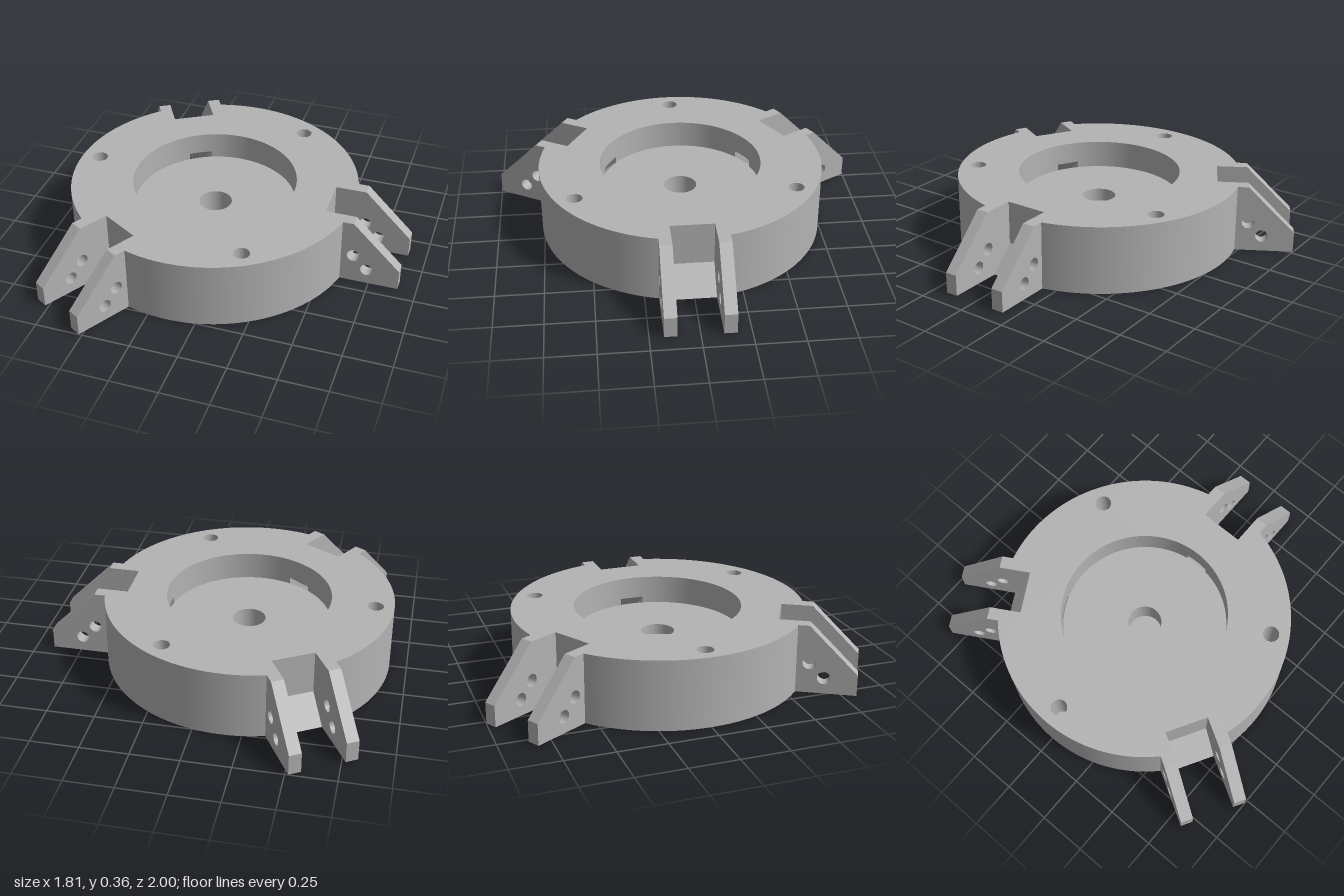
import * as THREE from 'three';

const R = 0.763, H = 0.36;            // disc radius and height
const POCKET = 0.435, FLOOR = 0.21;   // round pocket radius and floor height
const CENTRE = 0.088, CENTRE_Y = 0.06;
const BOLT = 0.042, BOLT_AT = 0.666, BOLT_Y = 0.12;
const NOTCH_R = 0.636, NOTCH_W = 0.113, NOTCH_Y = 0.13;
const SLOT_W = 0.064, SLOT_Y = 0.245;
const THIRD = Math.PI * 2 / 3;

export function createModel() {
  const model = new THREE.Group();
  model.name = 'mountingBase';
  const grey = new THREE.MeshStandardMaterial({ color: 0xb3b3b3, side: THREE.DoubleSide });
  grey.name = 'plain grey';

  const add = (parent, name, geometry) => {
    const mesh = new THREE.Mesh(geometry, grey);
    mesh.name = name;
    parent.add(mesh);
    return mesh;
  };
  const circle = (x, y, r) => new THREE.Path().absarc(x, y, r, 0, Math.PI * 2, false);
  const disc = (x, y, r) => new THREE.Shape().absarc(x, y, r, 0, Math.PI * 2, false);
  const turn = (x, y, a) => new THREE.Vector2(x, y).rotateAround(new THREE.Vector2(), a);

  // Horizontal face cut from a shape, at height y
  const flat = (name, shape, y) =>
    add(model, name, new THREE.ShapeGeometry(shape, 48).rotateX(-Math.PI / 2).translate(0, y, 0));
  // Upright round wall between two heights
  const wall = (name, r, y0, y1, start = 0, sweep = Math.PI * 2) =>
    add(model, name, new THREE.CylinderGeometry(r, r, y1 - y0, 96, 1, true, start, sweep)
      .translate(0, (y0 + y1) / 2, 0));
  // Four-cornered face
  const quad = (parent, name, ...corners) => {
    const g = new THREE.BufferGeometry();
    g.setAttribute('position', new THREE.Float32BufferAttribute(corners.flat(), 3));
    g.setIndex([0, 1, 2, 0, 2, 3]);
    g.computeVertexNormals();
    return add(parent, name, g);
  };

  const notchAngle = Math.asin(NOTCH_W / R);
  const slotAngle = Math.asin(SLOT_W / POCKET);

  // Top face with three notches, the pocket and the bolt holes
  const top = new THREE.Shape();
  const bottom = disc(0, 0, R);
  for (let k = 0; k < 3; k++) {
    const a = k * THIRD;
    const p = turn(NOTCH_R, -NOTCH_W, a), q = turn(NOTCH_R, NOTCH_W, a);
    if (k === 0) top.moveTo(p.x, p.y); else top.lineTo(p.x, p.y);
    top.lineTo(q.x, q.y);
    top.absarc(0, 0, R, a + notchAngle, a + THIRD - notchAngle, false);

    // Slot opening in the underside
    bottom.holes.push(new THREE.Path([
      turn(0.695, -SLOT_W, a), turn(0.75, -SLOT_W, a),
      turn(0.75, SLOT_W, a), turn(0.695, SLOT_W, a)]));
  }
  top.holes.push(circle(0, 0, POCKET));

  // Blind bolt holes midway between the brackets
  for (let k = 0; k < 3; k++) {
    const c = turn(BOLT_AT, 0, (k + 0.5) * THIRD);
    top.holes.push(circle(c.x, c.y, BOLT));
    wall('boltHoleWall', BOLT, BOLT_Y, H).position.set(c.x, 0, -c.y);
    flat('boltHoleFloor', disc(c.x, c.y, BOLT), BOLT_Y);
  }
  flat('topFace', top, H);
  flat('underside', bottom, 0);

  // Pocket and its blind centre hole
  const floor = disc(0, 0, POCKET);
  floor.holes.push(circle(0, 0, CENTRE));
  flat('pocketFloor', floor, FLOOR);
  wall('pocketWall', POCKET, SLOT_Y, H);
  wall('centreHoleWall', CENTRE, CENTRE_Y, FLOOR);
  flat('centreHoleFloor', disc(0, 0, CENTRE), CENTRE_Y);

  // Outer rim and lower pocket wall, interrupted at each bracket
  for (let k = 0; k < 3; k++) {
    const a = Math.PI / 2 + k * THIRD;
    wall('outerRim', R, 0, H, a + notchAngle, THIRD - 2 * notchAngle);
    wall('pocketWallLower', POCKET, FLOOR, SLOT_Y, a + slotAngle, THIRD - 2 * slotAngle);
  }

  // Side plate of a bracket, with a sloped corner and two pin holes
  const profile = new THREE.Shape([
    [NOTCH_R, 0], [1.05, 0], [1.05, 0.11], [0.8, H], [NOTCH_R, H],
  ].map(([x, y]) => new THREE.Vector2(x, y)));
  profile.holes.push(circle(0.806, 0.16, 0.033), circle(0.881, 0.085, 0.033));
  const plate = new THREE.ExtrudeGeometry(profile, { depth: 0.065, bevelEnabled: false, curveSegments: 16 });

  for (let k = 0; k < 3; k++) {
    const bracket = new THREE.Group();
    bracket.name = 'bracket';
    bracket.rotation.y = k * THIRD;
    model.add(bracket);
    add(bracket, 'sidePlate', plate).position.z = NOTCH_W;
    add(bracket, 'sidePlate', plate).position.z = -NOTCH_W - 0.065;

    // Notch: upright back and sloped ramp
    const w = NOTCH_W, s = SLOT_W;
    quad(bracket, 'notchBack', [NOTCH_R, NOTCH_Y, w], [NOTCH_R, NOTCH_Y, -w], [NOTCH_R, H, -w], [NOTCH_R, H, w]);
    quad(bracket, 'notchRamp', [R, 0, w], [R, 0, -w], [NOTCH_R, NOTCH_Y, -w], [NOTCH_R, NOTCH_Y, w]);

    // Sloping slot from the pocket down to the underside
    const upIn = [0.43, SLOT_Y], upOut = [0.75, 0], lowIn = [0.43, FLOOR], lowOut = [0.695, 0];
    quad(bracket, 'slotRoof', [...upIn, s], [...upOut, s], [...upOut, -s], [...upIn, -s]);
    quad(bracket, 'slotFloor', [...lowIn, -s], [...lowOut, -s], [...lowOut, s], [...lowIn, s]);
    for (const z of [s, -s])
      quad(bracket, 'slotSide', [...upIn, z], [...lowIn, z], [...lowOut, z], [...upOut, z]);
  }

  model.position.x = -0.146;
  const root = new THREE.Group();
  root.name = 'base';
  root.add(model);
  return root;
}
